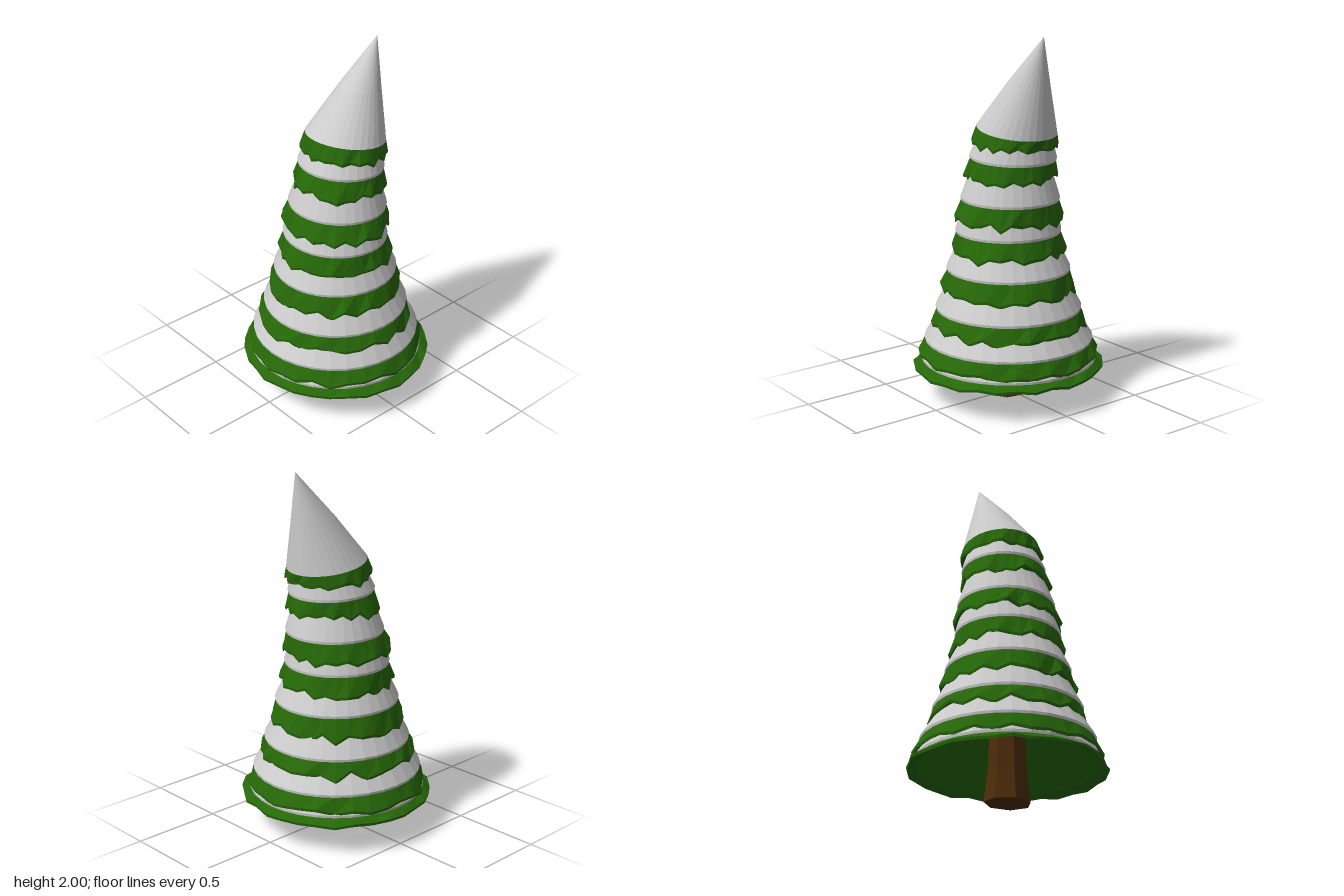
import * as THREE from 'three';

const SIDES = 32;
const SNOW = new THREE.MeshStandardMaterial({ color: 0xcccccc, flatShading: true });
const GREEN = new THREE.MeshStandardMaterial({ color: 0x266808, flatShading: true });
const BARK = new THREE.MeshStandardMaterial({ color: 0x4f2d0a, flatShading: true });

// Small seeded random source, 0..1
let seed = 7;
function rand() {
  seed = (seed * 16807) % 2147483647;
  return seed / 2147483647;
}

// Tilted elliptical section: left x, right x, height at left and right, depth radius
const section = (xl, xr, yl, yr, rz) => ({ xl, xr, yl, yr, rz });

// The same section moved inward and up
const inset = (s, d, up) => section(s.xl + d, s.xr - d, s.yl + up, s.yr + up, s.rz - d);

// Points of a section; jag gives each corner its own spread and drop
function ring(s, jag) {
  const cx = (s.xl + s.xr) / 2, rx = (s.xr - s.xl) / 2;
  const points = [];
  for (let i = 0; i < SIDES; i++) {
    const a = (i / SIDES) * Math.PI * 2;
    const c = Math.cos(a);
    const out = jag ? jag[i].out : 0;
    const y = s.yl + (s.yr - s.yl) * (c + 1) / 2 + (jag ? jag[i].up : 0);
    points.push(new THREE.Vector3(cx + (rx + out) * c, y, (s.rz + out) * Math.sin(a)));
  }
  return points;
}

// Skin joining rings in order, from the top outside round to the underside
function loft(name, rings, material) {
  const points = [];
  for (let r = 0; r < rings.length - 1; r++) {
    for (let i = 0; i < SIDES; i++) {
      const j = (i + 1) % SIDES;
      const t = rings[r], b = rings[r + 1];
      points.push(t[i], t[j], b[j], t[i], b[j], b[i]);
    }
  }
  const geometry = new THREE.BufferGeometry().setFromPoints(points);
  geometry.computeVertexNormals();
  const mesh = new THREE.Mesh(geometry, material);
  mesh.name = name;
  return mesh;
}

// Edge of the snow, hem of the branches and raggedness of each tier, top to bottom
const TIERS = [
  { snow: section(-0.145, 0.285, 1.53, 1.46, 0.218), hem: section(-0.165, 0.283, 1.445, 1.415, 0.234), rag: 0.02 },
  { snow: section(-0.19, 0.267, 1.365, 1.335, 0.24), hem: section(-0.222, 0.265, 1.255, 1.24, 0.258), rag: 0.022 },
  { snow: section(-0.25, 0.276, 1.13, 1.115, 0.275), hem: section(-0.28, 0.285, 1.02, 1.01, 0.302), rag: 0.022 },
  { snow: section(-0.285, 0.278, 0.945, 0.935, 0.296), hem: section(-0.313, 0.305, 0.835, 0.83, 0.314), rag: 0.022 },
  { snow: section(-0.345, 0.338, 0.73, 0.725, 0.342), hem: section(-0.37, 0.362, 0.615, 0.61, 0.366), rag: 0.026 },
  { snow: section(-0.405, 0.4, 0.51, 0.505, 0.405), hem: section(-0.43, 0.42, 0.425, 0.42, 0.428), rag: 0.028 },
  { snow: section(-0.47, 0.465, 0.335, 0.33, 0.468), hem: section(-0.5, 0.495, 0.252, 0.247, 0.498), rag: 0.016 },
  { snow: section(-0.49, 0.487, 0.228, 0.222, 0.489), hem: section(-0.527, 0.524, 0.186, 0.181, 0.526), rag: 0.01 },
];

export function createModel() {
  seed = 7;
  const tree = new THREE.Group();
  tree.name = 'tree';

  TIERS.forEach(({ snow, hem, rag }, n) => {
    const first = n === 0, last = n === TIERS.length - 1;
    const tier = new THREE.Group();
    tier.name = `tier${n + 1}`;

    // Snow: leaning tip on the first tier, sloping collar with a thin lip below it
    const top = first
      ? [section(0.29, 0.29, 2, 2, 0), section(0.05, 0.288, 1.755, 1.73, 0.112), snow]
      : [inset(TIERS[n - 1].hem, 0.035, 0.03), snow];
    const lip = first ? [inset(snow, 0.03, -0.005)]
      : [inset(snow, 0.002, -0.014), inset(snow, 0.02, -0.015)];
    tier.add(loft('snow', [...top, ...lip].map((s) => ring(s)), SNOW));

    // Branches: green skirt with a zigzag, thick hem
    const jag = Array.from({ length: SIDES }, (_, i) => ({
      out: (rand() - 0.5) * 0.024,
      up: ((rand() * 2 - 1) * 0.75 + (i % 2 ? 0.35 : -0.35)) * rag,
    }));
    const rings = [
      ring(first ? snow : inset(snow, 0.006, -0.013)),
      ring(hem, jag),
      ring(inset(hem, 0.003, -0.015), jag),
      ring(inset(hem, 0.05, last ? 0.005 : 0.02)),
    ];
    // Hollow underside rising to the trunk
    if (last) rings.push(ring(section(-0.06, 0.06, 0.66, 0.66, 0.06)));
    tier.add(loft('branches', rings, GREEN));
    tree.add(tier);
  });

  // Trunk: seven sides, flared foot
  const profile = [[0, 0], [0.13, 0], [0.11, 0.16], [0.085, 0.7]].map(([r, y]) => new THREE.Vector2(r, y));
  const trunk = new THREE.Mesh(new THREE.LatheGeometry(profile, 7), BARK);
  trunk.name = 'trunk';
  trunk.scale.x = 0.88;
  tree.add(trunk);

  return tree;
}
